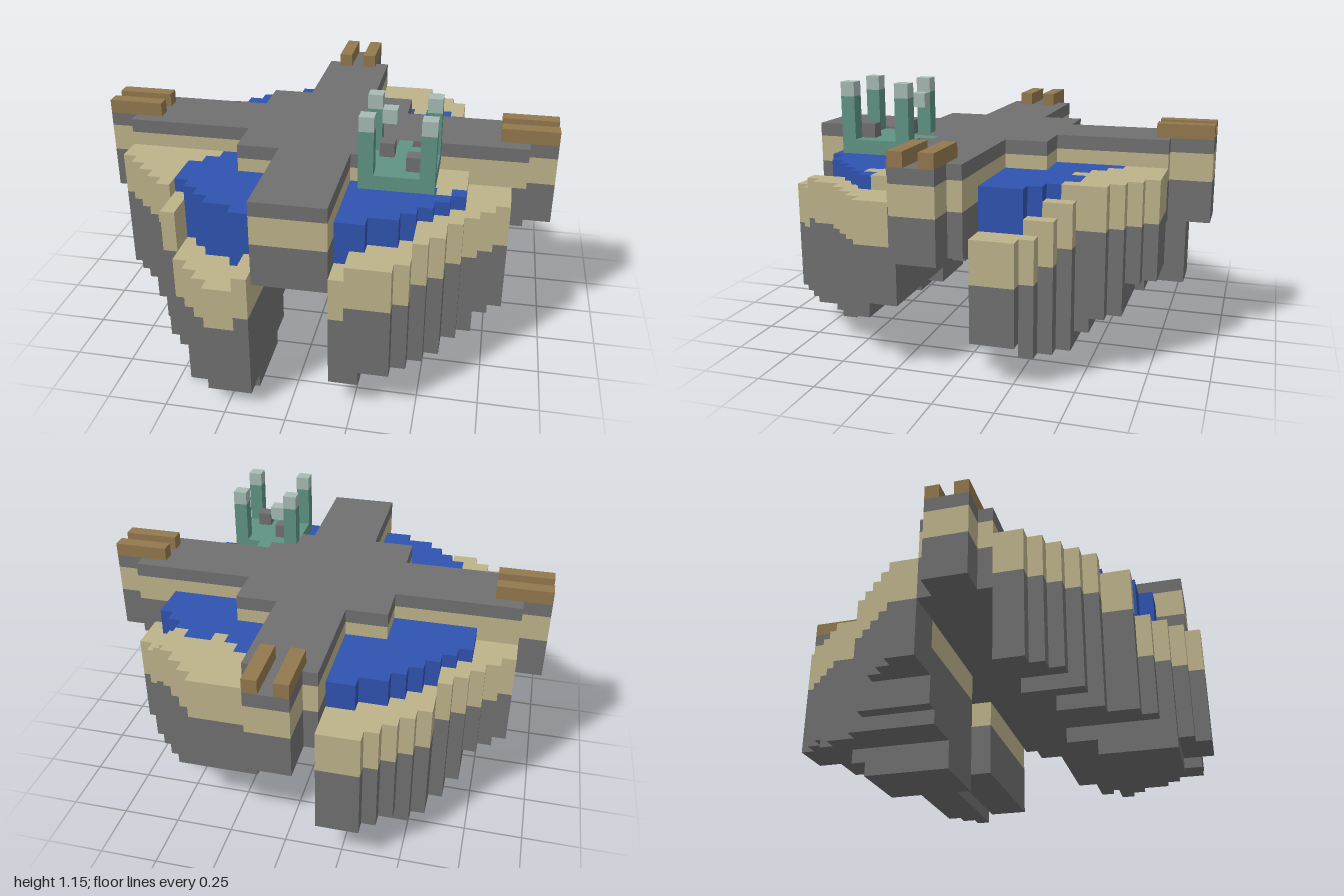
import * as THREE from 'three';
import { mergeGeometries } from 'three/addons/utils/BufferGeometryUtils.js';

// Everything sits on a block grid of 33 x 19 x 31 cells.
const U = 2 / 33;

const mat = (name, color) => {
  const m = new THREE.MeshStandardMaterial({ color });
  m.name = name;
  return m;
};

// Box between two grid corners.
function block(x0, x1, y0, y1, z0, z1) {
  const g = new THREE.BoxGeometry((x1 - x0) * U, (y1 - y0) * U, (z1 - z0) * U);
  g.translate(((x0 + x1) / 2 - 16.5) * U, ((y0 + y1) / 2) * U, ((z0 + z1) / 2 - 15.5) * U);
  return g;
}

// Round island outline and pool outline, as rows in column c out from the arm.
const shoreRows = (c, size) => Math.min(size, c > 6 ? 13 - c : 14 - c);
const poolRows = (c) => (c < 2 ? 9 : Math.min(8, 11 - c));

// Land level, underside level and pool area of each island, by column c and row r.
const frontRight = {
  name: 'frontRightIsland', sx: -1, sz: 1, size: 12,
  top: (c, r) => (c > 6 || (c > 4 && r < 2) ? 13 : c === 6 ? 12 : c === 0 ? 10 : 9),
  base: (c, r) => Math.max(
    c < 5 ? 0 : c < 8 ? 2 : c < 9 ? 3 : 4,
    r < 1 ? 4 : r < 3 ? 3 : r < 5 ? 1 : r < 10 ? 0 : 1),
  wet: (c, r) => c < 7 && r >= c - 4 && r < poolRows(c),
};
const backRight = {
  name: 'backRightIsland', sx: -1, sz: -1, size: 12,
  top: (c) => (c > 6 ? 12 : 11),
  base: (c, r) => Math.max(
    c < 5 ? 0 : c < 8 ? 2 : c < 9 ? 3 : 5,
    r < 6 ? 0 : r < 7 ? 1 : r < 9 ? 2 : 3),
  wet: (c, r) => c < 9 && r < poolRows(c),
};
const frontLeft = {
  name: 'frontLeftIsland', sx: 1, sz: 1, size: 11,
  top: (c, r) => (c > 2 && c < 8 && r < 4 ? 13 : c > 4 ? 12 : c === 0 ? 10 : 11),
  base: (c, r) => Math.max(c < 2 ? 2 : 3, r < 2 ? 5 : r < 4 ? 4 : r < 7 ? 3 : 2),
  wet: (c, r) => c < 8 && r >= (c < 7 ? c - 2 : 3) && r < poolRows(c),
};
const backLeft = {
  name: 'backLeftIsland', sx: 1, sz: -1, size: 11,
  top: (c) => (c < 7 ? 13 : c === 7 ? 12 : c === 8 ? 11 : 10),
  base: (c, r) => (r < 3 ? 3 : r < 6 ? 2 : r < 7 ? 3 : r < 9 ? 4 : 6),
  wet: (c, r) => c < 9 && r < Math.min(poolRows(c), 5 + Math.abs(c - 3)),
};

export function createModel() {
  const model = new THREE.Group();
  model.name = 'floatingCrossing';
  const stone = mat('stone', 0x707070);
  const sand = mat('sand', 0xbdb28a);
  const water = mat('water', 0x3053b0);
  const wood = mat('wood', 0x92784e);
  const copper = mat('copper', 0x5f9384);
  const paleCopper = mat('paleCopper', 0xa6bbb4);

  const addGroup = (name) => {
    const group = new THREE.Group();
    group.name = name;
    model.add(group);
    return group;
  };
  const add = (parent, name, material, boxes) => {
    const mesh = new THREE.Mesh(mergeGeometries(boxes), material);
    mesh.name = name;
    parent.add(mesh);
  };

  // Crossing: arms, a square centre and three narrow ledges, in layers.
  const crossing = addGroup('crossing');
  const layer = (y0, y1) => [
    block(2, 11, y0, y1, 14, 19), block(22, 31, y0, y1, 14, 19),
    block(14, 19, y0, y1, 3, 11), block(14, 19, y0, y1, 22, 30),
    block(11, 22, y0, y1, 11, 22),
    block(0, 2, y0, y1, 15, 18), block(31, 33, y0, y1, 15, 18),
    block(15, 18, y0, y1, 0, 3),
  ];
  add(crossing, 'crossingBase', stone, layer(9, 12));
  add(crossing, 'crossingSandBand', sand, layer(12, 14));
  add(crossing, 'crossingDeck', stone, layer(14, 15));

  // Pairs of timber rails at three arm ends.
  const rails = [];
  for (const s of [15, 17]) {
    rails.push(block(0, 4, 15, 16, s, s + 1));
    rails.push(block(29, 33, 15, 16, s, s + 1));
    rails.push(block(s, s + 1, 15, 16, 0, 4));
  }
  add(model, 'rails', wood, rails);

  // Islands: each column is rock below sand, with water on top inside the pool.
  for (const isl of [frontRight, backRight, frontLeft, backLeft]) {
    const rock = [], soil = [], pool = [];
    for (let c = 0; c < isl.size; c++) {
      for (let r = 0; r < shoreRows(c, isl.size); r++) {
        const x = isl.sx > 0 ? 19 + c : 13 - c;
        const z = isl.sz > 0 ? 19 + r : 13 - r;
        const underDeck = c < 3 && r < 3;
        const wet = isl.wet(c, r);
        const top = underDeck || wet ? 9 : isl.top(c, r);
        const seam = top - (underDeck || wet ? 2 : 3);
        rock.push(block(x, x + 1, isl.base(c, r), seam, z, z + 1));
        soil.push(block(x, x + 1, seam, top, z, z + 1));
        if (wet && !underDeck) pool.push(block(x, x + 1, 9, 13, z, z + 1));
      }
    }
    const group = addGroup(isl.name);
    add(group, 'islandRock', stone, rock);
    add(group, 'islandSand', sand, soil);
    add(group, 'islandPool', water, pool);
  }

  // Small copper platform with four posts and a step to the deck.
  const tower = addGroup('tower');
  const posts = [], caps = [block(21, 22, 17, 18, 20, 21)];
  for (const x of [20, 24]) for (const z of [20, 24]) {
    posts.push(block(x, x + 1, 15, 18, z, z + 1));
    caps.push(block(x, x + 1, 18, 19, z, z + 1));
  }
  add(tower, 'towerFloor', copper, [block(20, 25, 14, 15, 20, 25), block(22, 23, 14, 15, 19, 20)]);
  add(tower, 'towerPosts', copper, posts);
  add(tower, 'towerCaps', paleCopper, caps);
  add(tower, 'towerStones', stone, [block(21, 22, 15, 16, 21, 22), block(23, 24, 15, 16, 23, 24)]);

  return model;
}
